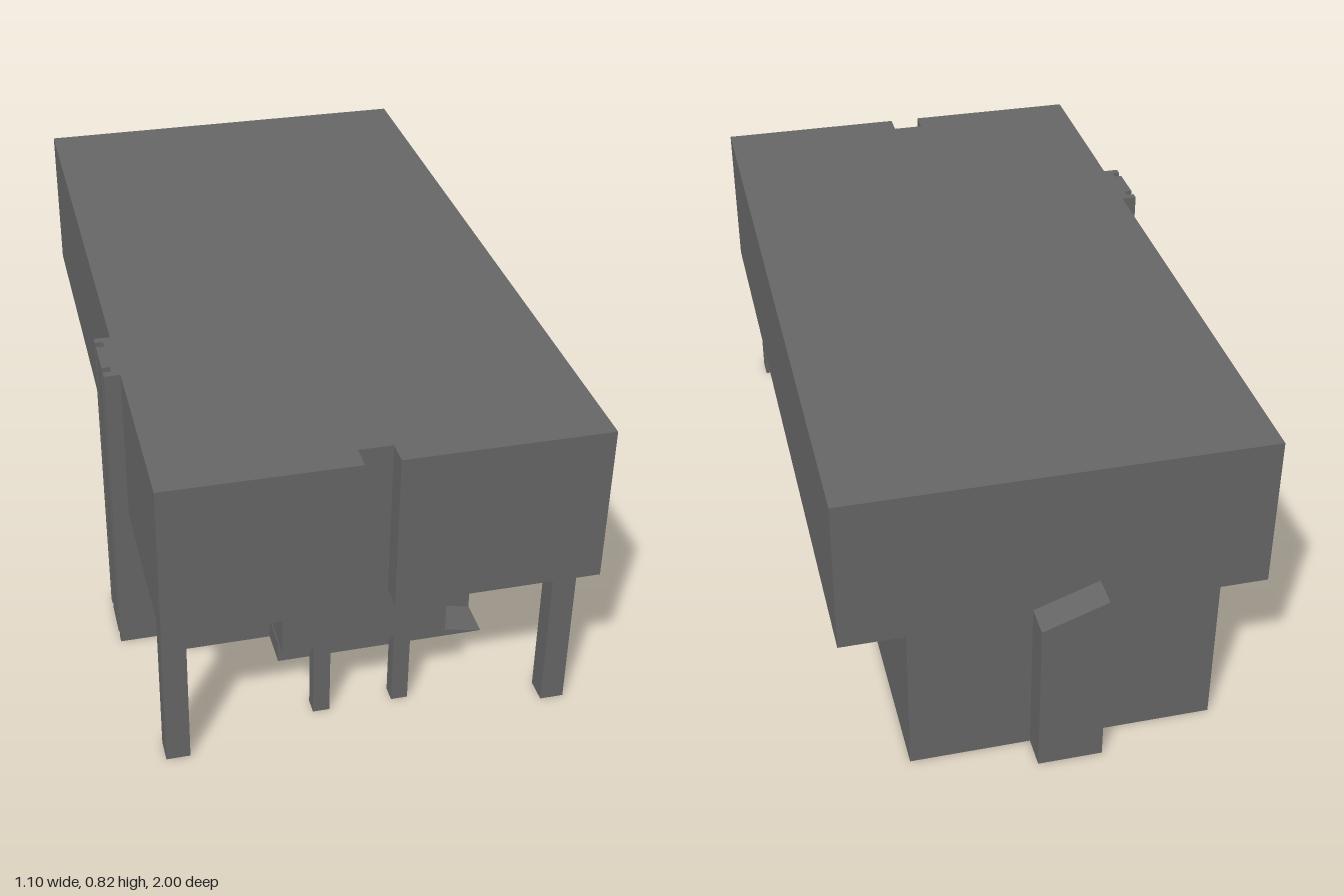
import * as THREE from 'three';

export function createModel() {
  const model = new THREE.Group();
  model.name = 'raisedHouse';
  const grey = new THREE.MeshStandardMaterial({ color: 0x666666 });
  grey.name = 'grey';

  function add(name, geometry) {
    const mesh = new THREE.Mesh(geometry, grey);
    mesh.name = name;
    model.add(mesh);
    return mesh;
  }

  // Box given by its limits on each axis
  function block(name, [x0, x1], [y0, y1], [z0, z1]) {
    return add(name, new THREE.BoxGeometry(x1 - x0, y1 - y0, z1 - z0))
      .position.set((x0 + x1) / 2, (y0 + y1) / 2, (z0 + z1) / 2);
  }

  const toShape = (points) => new THREE.Shape(points.map(([a, b]) => new THREE.Vector2(a, b)));

  // Floor plan of (x, z) points raised from y0 to y1
  function plan(name, points, y0, y1) {
    const shape = toShape(points.map(([x, z]) => [x, -z]));
    const geometry = new THREE.ExtrudeGeometry(shape, { depth: y1 - y0, bevelEnabled: false });
    geometry.rotateX(-Math.PI / 2).translate(0, y0, 0);
    return add(name, geometry);
  }

  // Front outline of (x, y) points running from z0 to z1
  function elevation(name, points, z0, z1, hole) {
    const shape = toShape(points);
    if (hole) shape.holes.push(toShape(hole));
    const geometry = new THREE.ExtrudeGeometry(shape, { depth: z1 - z0, bevelEnabled: false });
    return add(name, geometry.translate(0, 0, z0));
  }

  const floorY = 0.41, roofY = 0.817, backZ = -0.92, wallZ = 0.575;

  // Overhanging upper storey with a slot in the front
  plan('upperStorey', [
    [-0.51, backZ], [0.547, backZ], [0.547, 1], [0.04, 1],
    [0.04, 0.94], [-0.043, 0.94], [-0.043, 1], [-0.51, 1],
  ], floorY, roofY);

  // Narrower ground floor, with a shallow door recess in its front wall
  block('groundFloor', [-0.388, 0.385], [0, floorY], [backZ, wallZ - 0.03]);
  elevation('frontWall',
    [[-0.388, 0], [0.385, 0], [0.385, floorY], [-0.388, floorY]],
    wallZ - 0.03, wallZ,
    [[-0.105, 0.062], [-0.105, 0.166], [0.02, 0.166], [0.02, 0.062]]);

  // Side shaft with two vertical grooves
  plan('sideShaft', [
    [-0.51, 0.325], [-0.51, 0.507], [-0.55, 0.507], [-0.55, 0.487], [-0.53, 0.487],
    [-0.53, 0.466], [-0.55, 0.466], [-0.55, 0.366], [-0.53, 0.366], [-0.53, 0.345],
    [-0.55, 0.345], [-0.55, 0.325],
  ], 0, roofY);
  block('sideShaftInner', [-0.51, -0.388], [0, floorY], [0.325, 0.507]);

  // Rear stack with a slanted top
  elevation('rearStack', [[-0.083, 0], [0.08, 0], [0.08, 0.43], [-0.083, 0.49]], -1, backZ);

  // Lowered porch box below the overhang
  block('porchBox', [-0.205, 0.203], [0.225, floorY], [wallZ, 0.9]);

  // Posts under the overhang and the porch box
  for (const side of [-1, 1]) {
    const span = (a, b) => (side > 0 ? [a, b] : [-b, -a]);
    const prefix = side > 0 ? 'left' : 'right';
    block(prefix + 'CornerPost', span(0.447, 0.506), [0, floorY], [0.9, 0.96]);
    block(prefix + 'PorchPost', span(0.08, 0.122), [0, 0.225], [0.838, 0.878]);
  }

  // Entrance landing running down into a ramp
  elevation('landingAndRamp',
    [[-0.165, 0], [0.385, 0], [0.08, 0.062], [-0.165, 0.062]], wallZ, 0.675);

  return model;
}
